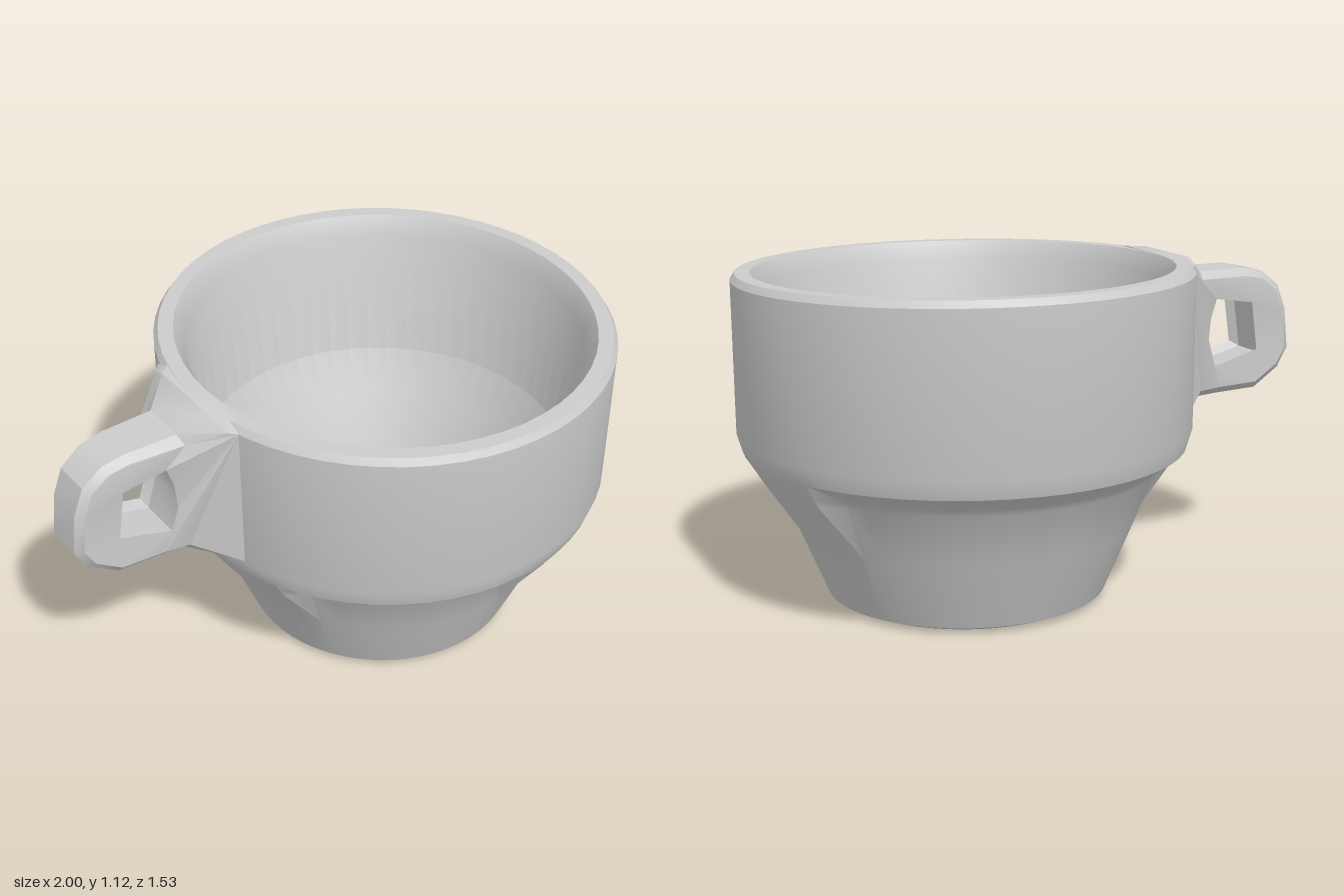
import * as THREE from 'three';
import { toCreasedNormals } from 'three/addons/utils/BufferGeometryUtils.js';

const CUP_X = 0.235;
const material = new THREE.MeshStandardMaterial({ color: 0xcccccc, side: THREE.DoubleSide });

function vectors(list) {
  return list.map(([x, y]) => new THREE.Vector2(x, y));
}

// Move every vertex by a rule
function reshape(geometry, rule) {
  const pos = geometry.attributes.position;
  const v = new THREE.Vector3();
  for (let i = 0; i < pos.count; i++) {
    rule(v.fromBufferAttribute(pos, i));
    pos.setXYZ(i, v.x, v.y, v.z);
  }
  return geometry;
}

function part(name, geometry, crease) {
  const mesh = new THREE.Mesh(toCreasedNormals(geometry, crease), material);
  mesh.name = name;
  return mesh;
}

// Closed shell: foot, tapered lower body, step, straight band, rim, interior
function makeCup() {
  const profile = vectors([
    [0, 0.01], [0.43, 0.01], [0.475, 0.03], [0.575, 0.27], [0.645, 0.45], [0.665, 0.475],
    [0.745, 0.53], [0.763, 0.59], [0.765, 1.1], [0.75, 1.122], [0.7, 1.122],
    [0.665, 1.06], [0.63, 0.6], [0.54, 0.46], [0.4, 0.1], [0, 0.1],
  ]);
  const cup = new THREE.LatheGeometry(profile, 56);
  reshape(cup, (v) => {
    const r = Math.hypot(v.x, v.z);
    // Gussets filling the step on both sides and at the front
    const side = Math.abs(Math.atan2(v.z, Math.abs(v.x))) < 0.55;
    const front = v.z > 0 && v.x > 0.03 && v.x < 0.26;
    if ((side || front) && r > 0.6 && v.y > 0.44 && v.y < 0.48) {
      const s = (v.y < 0.46 ? 0.695 : 0.71) / r;
      v.x *= s;
      v.z *= s;
    }
    // The rim tilts slightly towards the front
    if (v.y > 1) v.y -= v.z * 0.014 + v.x * 0.004;
  });
  cup.translate(CUP_X, 0, 0);
  return part('cup', cup, 0.5);
}

// Angular loop handle that flares where it meets the cup
function makeHandle() {
  const shape = new THREE.Shape(vectors([
    [-0.47, 0.57], [-0.53, 0.585], [-0.62, 0.615], [-0.7, 0.62], [-0.86, 0.625], [-0.96, 0.69],
    [-1, 0.76], [-0.985, 0.9], [-0.95, 0.99], [-0.88, 1.045], [-0.8, 1.06],
    [-0.62, 1.06], [-0.53, 1.125], [-0.47, 1.125],
  ]));
  shape.holes.push(new THREE.Path(vectors([
    [-0.88, 0.75], [-0.85, 0.96], [-0.66, 0.99], [-0.63, 0.9], [-0.62, 0.8], [-0.655, 0.69],
  ])));
  const bevel = 0.025;
  const handle = new THREE.ExtrudeGeometry(shape, {
    depth: 2 - 2 * bevel * 10, bevelEnabled: true, bevelSegments: 1,
    bevelThickness: bevel * 10, bevelSize: bevel, bevelOffset: -bevel,
  });
  handle.translate(0, 0, -1 + bevel * 10);
  reshape(handle, (v) => {
    const flare = Math.max(0, (v.x + 0.62) / 0.15);
    const width = 0.085 + 0.02 * (v.x + 1) / 0.4 + 0.15 * flare;
    v.z = v.z * width - 0.008;
  });
  return part('handle', handle, 0.5);
}

export function createModel() {
  const model = new THREE.Group();
  model.name = 'handledCup';
  model.add(makeCup(), makeHandle());
  return model;
}
